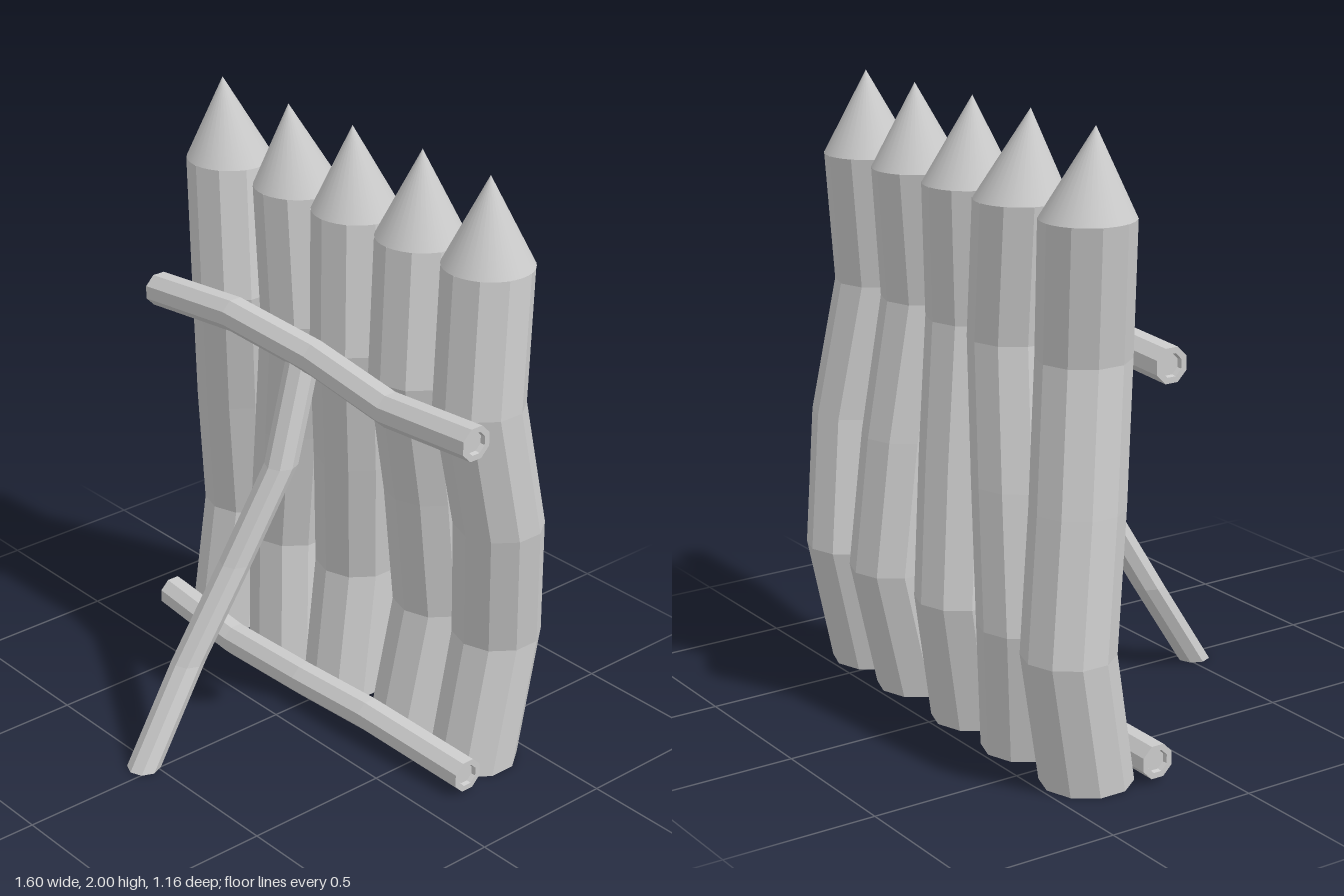
import * as THREE from 'three';

const wood = new THREE.MeshStandardMaterial({ color: 0xcccccc, flatShading: true });
const smoothWood = new THREE.MeshStandardMaterial({ color: 0xcccccc });

// Crooked log: parallel rings of a lathe are moved onto the points of a path.
function log(name, path, r, sides, alongX = false, phase = 0) {
  const last = path.length - 1;
  const rows = path.map((p) => ({ r, p }));
  const start = path[0], end = path[last];
  if (alongX) {
    // shallow recess in both cut ends
    const a = start.map((v, k) => v + (k === 0 ? 0.015 : 0));
    const b = end.map((v, k) => v - (k === 0 ? 0.015 : 0));
    rows.unshift({ r: 0, p: a }, { r: r * 0.6, p: a }, { r: r * 0.65, p: start });
    rows.push({ r: r * 0.65, p: end }, { r: r * 0.6, p: b }, { r: 0, p: b });
  } else {
    rows.unshift({ r: 0, p: start });
    rows.push({ r: 0, p: end });
  }
  const profile = rows.map((row, i) => new THREE.Vector2(row.r, i));
  const geo = new THREE.LatheGeometry(profile, sides, phase);
  const pos = geo.attributes.position;
  for (let i = 0; i < pos.count; i++) {
    const [x, y, z] = rows[i % rows.length].p;
    const px = pos.getX(i), pz = pos.getZ(i);
    if (alongX) pos.setXYZ(i, x, y - px, z + pz);
    else pos.setXYZ(i, x + px, y, z + pz);
  }
  geo.computeVertexNormals();
  const mesh = new THREE.Mesh(geo, wood);
  mesh.name = name;
  return mesh;
}

// Pointed tip that leans slightly to one side
function tip(x, z, lean) {
  const h = 0.27;
  const geo = new THREE.ConeGeometry(0.144, h, 32, 1, true);
  geo.translate(0, h / 2, 0);
  const pos = geo.attributes.position;
  for (let i = 0; i < pos.count; i++) {
    const t = pos.getY(i) / h;
    pos.setX(i, pos.getX(i) - 0.024 * t);
    pos.setZ(i, pos.getZ(i) + lean * t);
  }
  const mesh = new THREE.Mesh(geo, smoothWood);
  mesh.name = 'stakeTip';
  mesh.position.set(x, 1.73, z);
  return mesh;
}

export function createModel() {
  const model = new THREE.Group();
  model.name = 'palisade';

  // Five upright stakes: x and z of each ring from the ground up
  const heights = [0, 0.43, 0.865, 1.3, 1.73];
  const stakes = [
    { x: [-0.64, -0.66, -0.62, -0.565, -0.625], z: [-0.34, -0.42, -0.36, -0.3, -0.33], lean: 0.01 },
    { x: [-0.32, -0.37, -0.31, -0.24, -0.283], z: [-0.34, -0.385, -0.36, -0.325, -0.33], lean: 0.02 },
    { x: [-0.03, -0.06, -0.01, 0.035, 0], z: [-0.34, -0.415, -0.36, -0.3, -0.33], lean: 0 },
    { x: [0.305, 0.305, 0.32, 0.335, 0.296], z: [-0.34, -0.435, -0.37, -0.28, -0.33], lean: -0.02 },
    { x: [0.595, 0.585, 0.64, 0.625, 0.59], z: [-0.34, -0.435, -0.37, -0.28, -0.33], lean: -0.02 },
  ];
  for (const s of stakes) {
    const stake = new THREE.Group();
    stake.name = 'stake';
    const path = heights.map((y, i) => [s.x[i], y, s.z[i]]);
    stake.add(log('stakeTrunk', path, 0.145, 10), tip(s.x[4], s.z[4], s.lean));
    model.add(stake);
  }

  // Two cross rails
  model.add(log('upperRail', [
    [-0.735, 1.283, -0.107], [-0.35, 1.312, -0.122], [0.04, 1.288, -0.13],
    [0.42, 1.257, -0.1], [0.8, 1.285, -0.098],
  ], 0.058, 8, true, Math.PI / 8));
  model.add(log('lowerRail', [
    [-0.785, 0.07, -0.18], [-0.4, 0.055, -0.155], [-0.02, 0.078, -0.14],
    [0.3, 0.085, -0.15], [0.745, 0.062, -0.17],
  ], 0.057, 8, true, Math.PI / 8));

  // Slanted brace from the ground to the upper rail
  model.add(log('brace', [
    [-0.037, 0, 0.53], [-0.06, 0.31, 0.32], [-0.04, 0.62, 0.135],
    [-0.01, 0.93, -0.03], [-0.038, 1.26, -0.145],
  ], 0.055, 8));

  return model;
}
